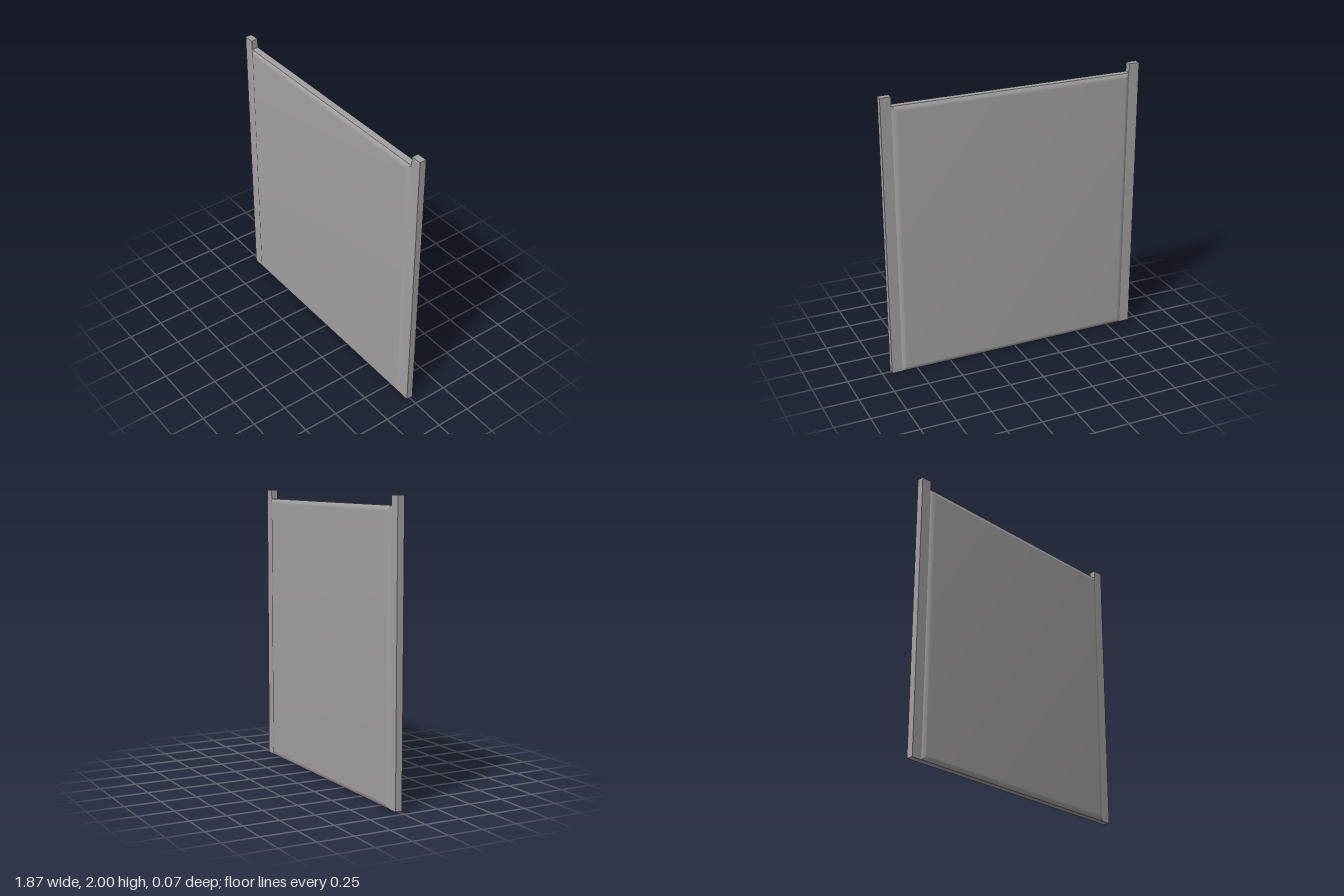
import * as THREE from 'three';
import { toCreasedNormals } from 'three/addons/utils/BufferGeometryUtils.js';

const HEIGHT = 2, POST_X = 0.86, POST_W = 0.075, POST_D = 0.048;
const PANEL_H = 1.935, PANEL_D = 0.074, BEVEL = 0.04, STEPS = 6;

// Slab whose four edges curve in to a narrower flat rim, mitred at the corners
function pillowSlab(width, height) {
  const drop = (PANEL_D - POST_D) / 2;
  const radius = (BEVEL ** 2 + drop ** 2) / (2 * drop);
  const sweep = Math.asin(BEVEL / radius);

  // Half profile from rim to face: [inset, z]
  const half = [];
  for (let i = 0; i <= STEPS; i++) {
    const a = sweep * (1 - i / STEPS);
    half.push([BEVEL - radius * Math.sin(a), PANEL_D / 2 - radius * (1 - Math.cos(a))]);
  }
  const profile = [...half.map(([t, z]) => [t, -z]).reverse(), ...half];

  // One rectangular loop for each profile point, anticlockwise seen from the front
  const loops = profile.map(([t, z]) => {
    const x = width / 2 - t;
    return [[-x, t, z], [x, t, z], [x, height - t, z], [-x, height - t, z]];
  });
  const pos = [];
  const quad = (a, b, c, d) => pos.push(...a, ...b, ...c, ...a, ...c, ...d);
  for (let i = 0; i < loops.length - 1; i++) {
    for (let k = 0; k < 4; k++) {
      const n = (k + 1) % 4;
      quad(loops[i][k], loops[i][n], loops[i + 1][n], loops[i + 1][k]);
    }
  }
  const back = loops[0];
  quad(...loops[loops.length - 1]);
  quad(back[3], back[2], back[1], back[0]);

  const geo = new THREE.BufferGeometry();
  geo.setAttribute('position', new THREE.Float32BufferAttribute(pos, 3));
  return toCreasedNormals(geo, 0.3);
}

export function createModel() {
  const group = new THREE.Group();
  group.name = 'fencePanel';
  const grey = new THREE.MeshStandardMaterial({ color: 0xa3a1a1 });
  grey.name = 'warm grey';

  // Infill panel between the posts
  const panel = new THREE.Mesh(pillowSlab(POST_X * 2, PANEL_H), grey);
  panel.name = 'panel';
  group.add(panel);

  // Square-cut posts on either side
  const postGeo = new THREE.BoxGeometry(POST_W, HEIGHT, POST_D);
  for (const [name, side] of [['leftPost', 1], ['rightPost', -1]]) {
    const post = new THREE.Mesh(postGeo, grey);
    post.name = name;
    post.position.set(side * (POST_X + POST_W / 2), HEIGHT / 2, 0);
    group.add(post);
  }
  return group;
}
